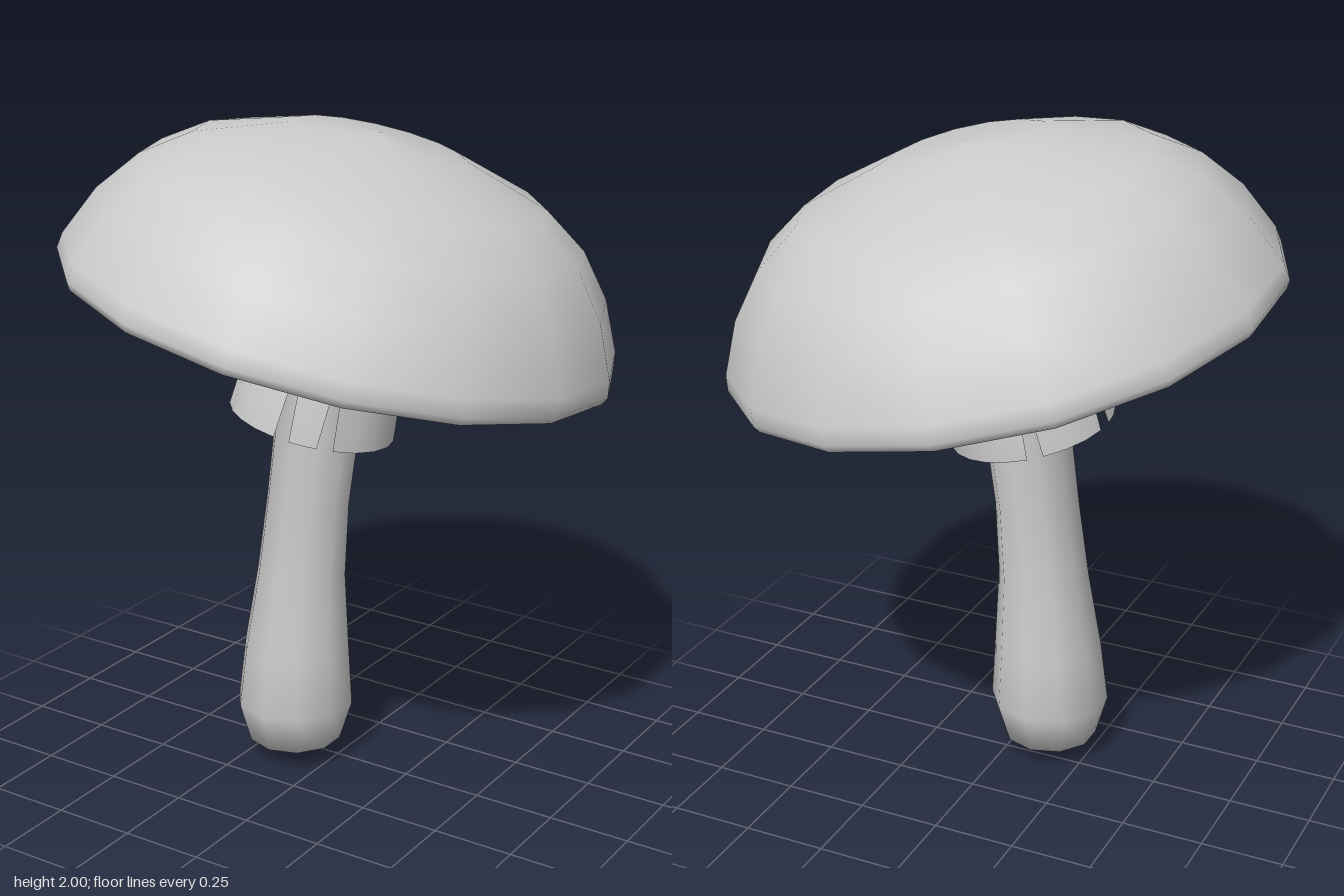
import * as THREE from 'three';

const grey = new THREE.MeshStandardMaterial({ color: 0xcccccc });
const thin = new THREE.MeshStandardMaterial({ color: 0xcccccc, side: THREE.DoubleSide });
const points = (list) => list.map(([r, y]) => new THREE.Vector2(r, y));

function addMesh(parent, name, geometry, material) {
  const mesh = new THREE.Mesh(geometry, material);
  mesh.name = name;
  parent.add(mesh);
}

// Stem: a lathe whose rings slide along a gentle lean
function stemGeometry() {
  const geo = new THREE.LatheGeometry(points([
    [0, 0], [0.145, 0.065], [0.182, 0.19], [0.165, 0.38], [0.138, 0.62],
    [0.128, 0.85], [0.13, 1.08], [0.13, 1.5],
  ]), 10);
  const pos = geo.attributes.position;
  for (let i = 0; i < pos.count; i++) {
    const t = pos.getY(i) / 1.5;
    pos.setX(i, pos.getX(i) - 0.125 + 0.135 * t * t);
    pos.setZ(i, pos.getZ(i) + 0.055 - 0.045 * t * t);
  }
  return geo;
}

// One flap of the skirt between two angles, narrowing downward to leave V slits
function flapGeometry(from, to) {
  const profile = [[0.13, 0.085], [0.15, 0.06], [0.178, 0.0], [0.212, -0.09], [0.238, -0.2], [0.25, -0.34]];
  const cols = Math.max(2, Math.round((to - from) / 18));
  const position = [], index = [];
  profile.forEach(([r, y], row) => {
    const gap = 5.5 * Math.max(0, (0.04 - y) / 0.38);
    for (let c = 0; c <= cols; c++) {
      const a = THREE.MathUtils.degToRad(THREE.MathUtils.lerp(from + gap, to - gap, c / cols));
      position.push(r * Math.sin(a), y, r * Math.cos(a));
      if (row && c) {
        const d = row * (cols + 1) + c, u = d - cols - 1;
        index.push(u - 1, d - 1, d, u - 1, d, u);
      }
    }
  });
  const geo = new THREE.BufferGeometry();
  geo.setAttribute('position', new THREE.Float32BufferAttribute(position, 3));
  geo.setIndex(index);
  geo.computeVertexNormals();
  return geo;
}

export function createModel() {
  const model = new THREE.Group();
  model.name = 'mushroom';
  addMesh(model, 'stem', stemGeometry(), grey);

  // Cap and skirt share one tilted axis
  const head = new THREE.Group();
  head.name = 'head';
  head.position.y = 1.44;
  head.quaternion.setFromUnitVectors(
    new THREE.Vector3(0, 1, 0), new THREE.Vector3(0.2, 1, -0.115).normalize());
  model.add(head);

  const capSides = 16, start = Math.PI / capSides;
  addMesh(head, 'capTop', new THREE.LatheGeometry(points([
    [0.79, -0.015], [0.82, -0.012], [0.833, 0.012], [0.825, 0.06], [0.755, 0.21],
    [0.655, 0.335], [0.52, 0.428], [0.26, 0.515], [0, 0.542],
  ]), capSides, start), grey);
  addMesh(head, 'capUnderside', new THREE.LatheGeometry(points([
    [0, 0.085], [0.3, 0.075], [0.6, 0.04], [0.79, -0.015],
  ]), capSides, start), thin);

  // Torn skirt: slit angles measured from the front toward the left
  const skirt = new THREE.Group();
  skirt.name = 'skirt';
  head.add(skirt);
  const slits = [-154, -96, -61, 12, 42, 120, 206];
  for (let i = 0; i < slits.length - 1; i++) {
    addMesh(skirt, 'skirtFlap' + (i + 1), flapGeometry(slits[i], slits[i + 1]), thin);
  }
  return model;
}
